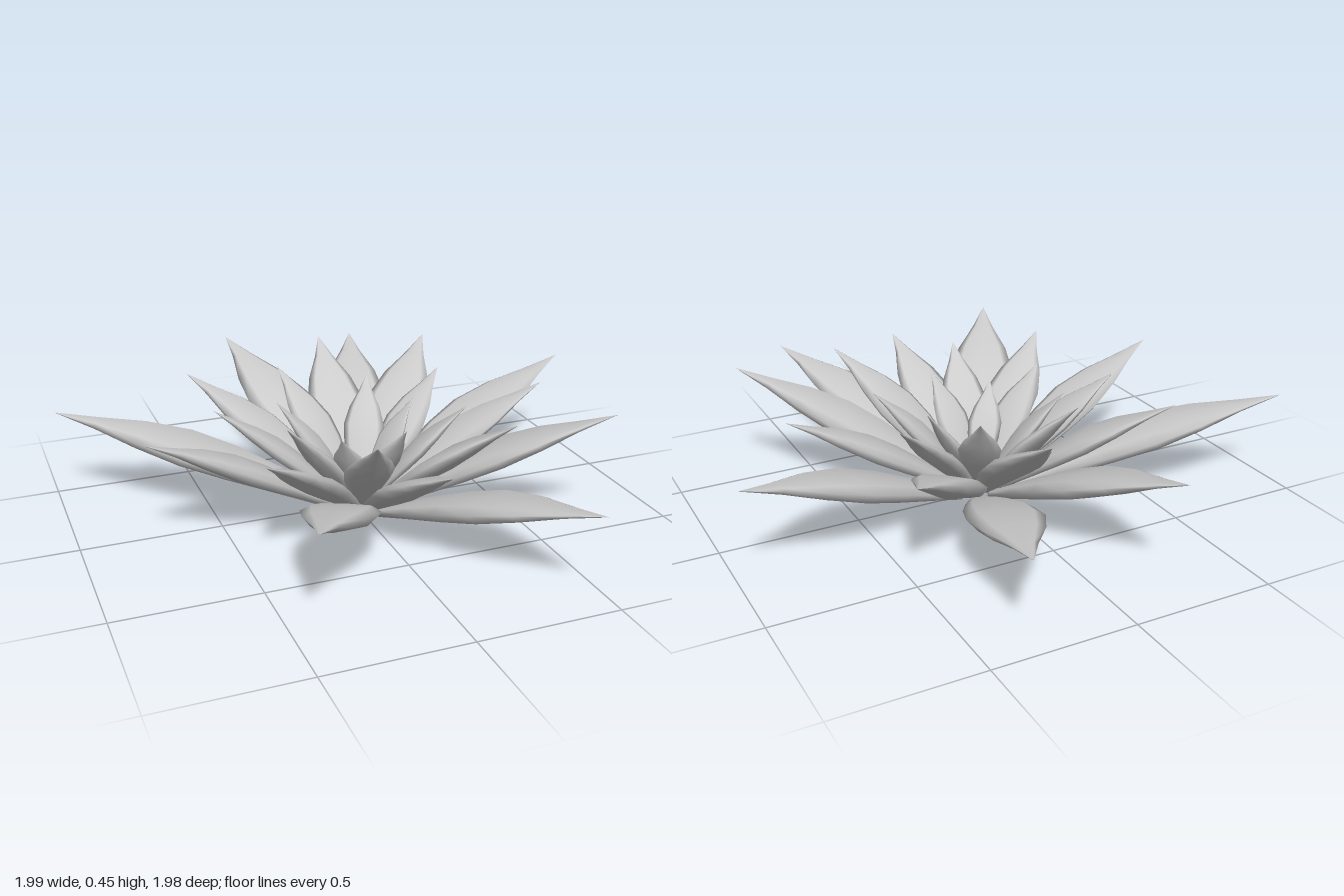
import * as THREE from 'three';

// Leaf tips in growing order, each turned by about the golden angle:
// [heading in degrees from +x towards +z, radius, height]
const TIPS = [
  [290, 1.06, 0.33], [66, 1.075, 0.335], [203, 1.08, 0.36], [343.5, 1.035, 0.375],
  [117, 0.99, 0.395], [257, 0.955, 0.4], [35, 0.915, 0.45], [169, 0.8, 0.425],
  [311.5, 0.815, 0.42], [86, 0.715, 0.41], [223, 0.675, 0.43], [4, 0.725, 0.41],
  [136, 0.65, 0.42], [278, 0.63, 0.46], [54.5, 0.64, 0.465], [189, 0.5, 0.42],
  [333, 0.48, 0.42], [102, 0.47, 0.43], [245, 0.4, 0.45], [25, 0.4, 0.41],
  [153, 0.34, 0.41], [300, 0.31, 0.41], [75, 0.3, 0.4], [207, 0.28, 0.4],
  [350, 0.25, 0.38], [122, 0.23, 0.36],
];

// Outline of a leaf: [distance along, relative half width]
const OUTLINE = [[0, 0], [0.03, 0.4], [0.2, 0.68], [0.38, 0.93], [0.54, 1], [0.7, 0.75], [0.85, 0.33], [1, 0]];
const SIDES = 8;

// Fleshy leaf: a flattened, slightly cupped oval section swept from base to tip
function leafGeometry(base, tip, side, halfWidth) {
  const along = tip.clone().sub(base);
  const up = side.clone().cross(along).normalize();
  const arch = along.length() * 0.025;
  const pos = [], index = [];
  OUTLINE.forEach(([t, k], row) => {
    const w = k * halfWidth;
    for (let j = 0; j < SIDES; j++) {
      const angle = (j / SIDES) * Math.PI * 2;
      const u = Math.cos(angle);
      const lift = 0.33 * Math.sin(angle) - 0.07 + 0.15 * u * u;
      const p = base.clone().addScaledVector(along, t)
        .addScaledVector(side, u * w)
        .addScaledVector(up, lift * w + arch * Math.sin(Math.PI * t));
      pos.push(p.x, p.y, p.z);
      if (row) {
        const next = (j + 1) % SIDES;
        const a = (row - 1) * SIDES + j, b = (row - 1) * SIDES + next;
        const c = row * SIDES + j, d = row * SIDES + next;
        index.push(a, c, b, b, c, d);
      }
    }
  });
  const g = new THREE.BufferGeometry();
  g.setAttribute('position', new THREE.Float32BufferAttribute(pos, 3));
  g.setIndex(index);
  g.computeVertexNormals();
  return g;
}

export function createModel() {
  const model = new THREE.Group();
  model.name = 'succulentRosette';
  const material = new THREE.MeshStandardMaterial({ color: 0xcccccc });

  TIPS.forEach(([deg, radius, height], i) => {
    const f = i / (TIPS.length - 1);
    const a = THREE.MathUtils.degToRad(deg);
    const at = (r, y) => new THREE.Vector3(Math.cos(a) * r, y, Math.sin(a) * r);
    // Inner leaves start closer to the heart and a little higher
    const base = at(0.1 - 0.07 * f, 0.02 + 0.04 * f).add(new THREE.Vector3(0.015, 0, 0.02));
    const tip = at(radius, height);
    const side = new THREE.Vector3(-Math.sin(a), 0, Math.cos(a));
    const halfWidth = base.distanceTo(tip) * (0.125 + 0.05 * f);

    const leaf = new THREE.Mesh(leafGeometry(base, tip, side, halfWidth), material);
    leaf.name = `leaf${i + 1}`;
    model.add(leaf);
  });
  return model;
}
